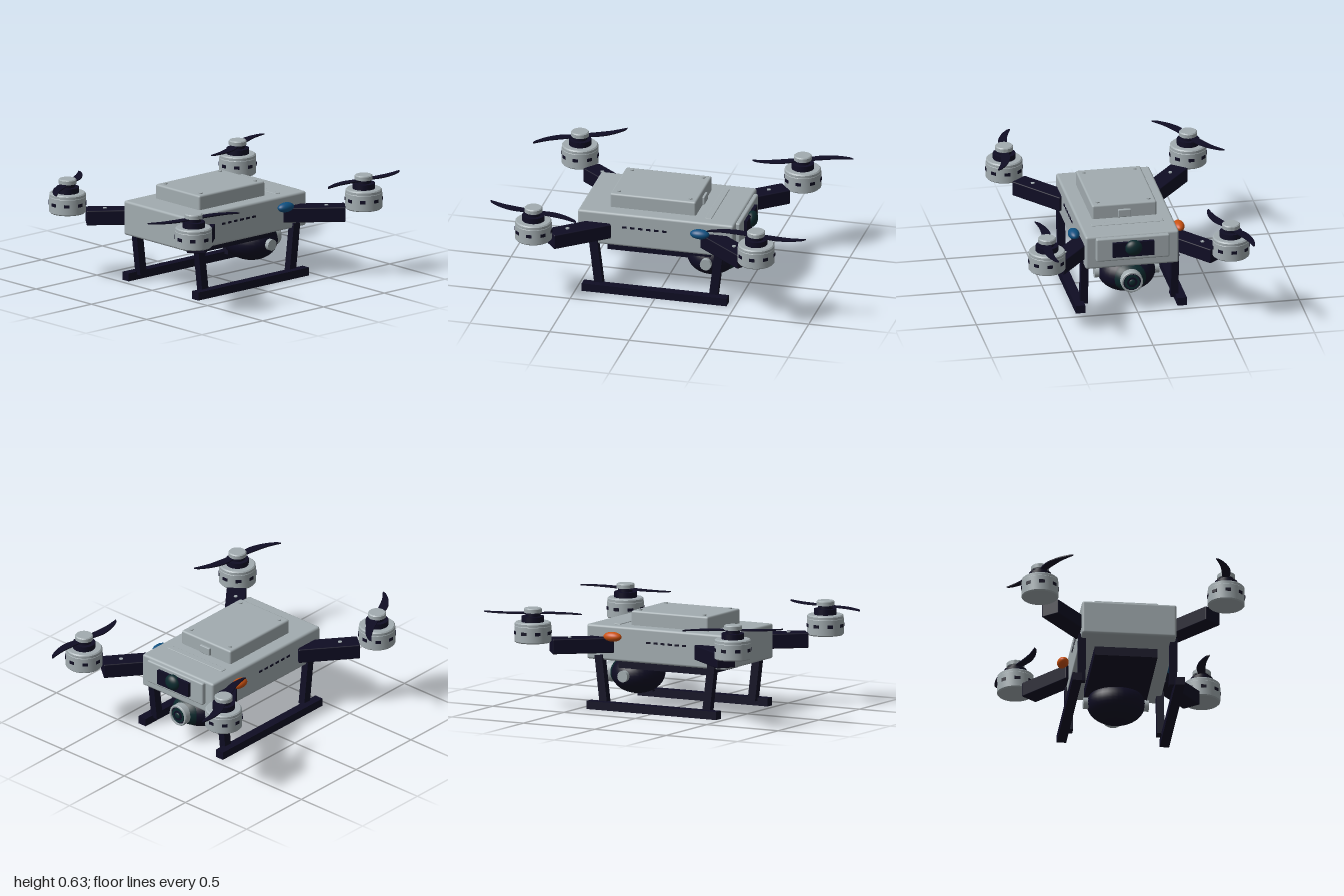
import * as THREE from 'three';
import { toCreasedNormals } from 'three/addons/utils/BufferGeometryUtils.js';
import { RoundedBoxGeometry } from 'three/addons/geometries/RoundedBoxGeometry.js';

function material(name, color) {
  const m = new THREE.MeshStandardMaterial({ color });
  m.name = name;
  return m;
}

export function createModel() {
  const grey = material('shell grey', 0xa2acb0);
  const navy = material('dark navy', 0x0f0d24);
  const teal = material('dark teal glass', 0x0c2a2e);
  const blue = material('blue light', 0x0f5080);
  const orange = material('orange light', 0xcc5210);

  const model = new THREE.Group();
  model.name = 'quadcopter';
  // everything is symmetric about the drone's own axis, slightly off z = 0
  const drone = new THREE.Group();
  drone.name = 'drone';
  drone.position.set(0, 0, 0.03);
  model.add(drone);

  function add(parent, name, geo, mat, x = 0, y = 0, z = 0) {
    const mesh = new THREE.Mesh(geo, mat);
    mesh.name = name;
    mesh.position.set(x, y, z);
    parent.add(mesh);
    return mesh;
  }
  const box = (w, h, d) => new THREE.BoxGeometry(w, h, d);
  const rounded = (w, h, d, r) => new RoundedBoxGeometry(w, h, d, 2, r);
  const cyl = (r, h, n = 32) => new THREE.CylinderGeometry(r, r, h, n);
  const ellipsoid = (a, b, c) => new THREE.SphereGeometry(1, 32, 20).scale(a, b, c);
  const lathe = (pts) => toCreasedNormals(
    new THREE.LatheGeometry(pts.map(([r, y]) => new THREE.Vector2(r, y)), 40), 0.5);

  // body shell, battery and its latch
  add(drone, 'body', rounded(0.98, 0.215, 0.58, 0.015), grey, -0.01, 0.408, 0);
  add(drone, 'battery', rounded(0.54, 0.11, 0.4, 0.012), grey, -0.05, 0.55, 0);
  add(drone, 'batteryLatch', rounded(0.02, 0.05, 0.08, 0.005), grey, 0.225, 0.545, 0);
  add(drone, 'topStrip', rounded(0.042, 0.012, 0.445, 0.004), grey, 0.304, 0.514, 0);
  for (const x of [-0.273, 0.176])
    for (const z of [-0.158, 0.158])
      add(drone, 'batteryScrew', cyl(0.012, 0.01, 12), grey, x, 0.607, z);

  // front sensor panel
  add(drone, 'frontPanel', rounded(0.04, 0.15, 0.455, 0.01), grey, 0.485, 0.431, 0);
  add(drone, 'sensorWindow', box(0.03, 0.094, 0.256), navy, 0.51, 0.433, 0);
  add(drone, 'sensorLens', ellipsoid(0.035, 0.05, 0.053), teal, 0.523, 0.443, 0);

  // side vents and navigation lights
  for (const s of [-1, 1]) {
    for (let i = 0; i < 6; i++)
      add(drone, 'sideVent', box(0.027, 0.012, 0.009), navy, -0.205 + i * 0.05, 0.43, s * 0.29);
    add(drone, 'navigationLight', ellipsoid(0.06, 0.03, 0.035), s > 0 ? blue : orange, 0.277, 0.455, s * 0.325);
  }

  // landing gear: two skids, four legs leaning inward
  for (const s of [-1, 1]) {
    add(drone, 'skid', box(0.91, 0.05, 0.058), navy, -0.005, 0.025, s * 0.315);
    for (const e of [-1, 1]) {
      const leg = add(drone, 'leg', box(0.052, 0.3, 0.046), navy, -0.005 + e * 0.377, 0.182, s * 0.28);
      leg.rotation.z = -e * 0.12;
    }
  }

  // belly plate and camera
  add(drone, 'bellyPlate', box(0.62, 0.065, 0.385), navy, 0, 0.277, 0);
  const camera = new THREE.Group();
  camera.name = 'camera';
  camera.position.set(0.28, 0.192, 0);
  drone.add(camera);
  add(camera, 'cameraShell', ellipsoid(0.16, 0.124, 0.178), navy);
  add(camera, 'cameraBall', ellipsoid(0.15, 0.108, 0.135), teal, 0.03);
  add(camera, 'cameraPivot', cyl(0.035, 0.4, 24).rotateX(Math.PI / 2), grey);
  const lens = new THREE.Group();
  lens.name = 'lens';
  lens.rotation.z = -Math.PI / 2; // local y points forward
  camera.add(lens);
  add(lens, 'lensBarrel', cyl(0.06, 0.1), navy, 0, 0.14, 0);
  add(lens, 'lensRing', lathe([[0.055, 0.15], [0.068, 0.15], [0.068, 0.194],
    [0.064, 0.2], [0.055, 0.2], [0.055, 0.15]]), grey);
  add(lens, 'lensGlass', cyl(0.047, 0.008), teal, 0, 0.192, 0);
  add(lens, 'lensInner', cyl(0.032, 0.006), navy, 0, 0.196, 0);
  add(lens, 'lensCentre', ellipsoid(0.02, 0.008, 0.02), teal, 0, 0.199, 0);

  // curved propeller blade outline; side sets the spin direction
  function bladeGeometry(side) {
    const v = (x, y) => new THREE.Vector2(x, y * side);
    const shape = new THREE.Shape();
    shape.moveTo(0.02, 0.02 * side);
    shape.splineThru([v(0.11, 0.012), v(0.21, 0.008), v(0.307, 0.02)]);
    shape.splineThru([v(0.285, -0.004), v(0.21, -0.033), v(0.12, -0.043), v(0.02, -0.02)]);
    return new THREE.ExtrudeGeometry(shape, { depth: 0.007, bevelEnabled: false, curveSegments: 6 })
      .rotateX(-Math.PI / 2);
  }

  const motorGeo = lathe([[0, 0.425], [0.106, 0.425], [0.113, 0.432], [0.113, 0.525],
    [0.111, 0.528], [0.111, 0.543], [0.104, 0.55], [0, 0.55]]);
  const capGeo = lathe([[0, 0.606], [0.055, 0.606], [0.055, 0.629], [0.049, 0.635], [0, 0.635]]);
  const reach = Math.atan2(0.57, 0.7);

  // arm, motor and rotor at each corner: [x side, z side, propeller angle, spin]
  const corners = [[1, 1, 2.5, 1], [-1, 1, -17, -1], [-1, -1, 34.5, 1], [1, -1, 16.5, -1]];
  for (const [sx, sz, degrees, spin] of corners) {
    const arm = new THREE.Group();
    arm.name = 'arm';
    arm.position.x = -0.005;
    arm.rotation.y = Math.atan2(-sz * Math.sin(reach), sx * Math.cos(reach));
    drone.add(arm);
    add(arm, 'armBeam', rounded(0.38, 0.092, 0.12, 0.006), navy, 0.6, 0.399, 0);
    add(arm, 'armScrew', cyl(0.012, 0.008, 12), grey, 0.675, 0.446, 0);

    const motor = new THREE.Group();
    motor.name = 'motor';
    motor.position.set(sx * 0.7 - 0.005, 0, sz * 0.57);
    drone.add(motor);
    add(motor, 'motorHousing', motorGeo, grey);
    for (let i = 0; i < 8; i++) {
      const a = i * Math.PI / 4;
      const slot = add(motor, 'motorSlot', box(0.034, 0.02, 0.009), navy,
        0.111 * Math.sin(a), 0.486, 0.111 * Math.cos(a));
      slot.rotation.y = a;
    }
    add(motor, 'motorCollar', cyl(0.069, 0.035), navy, 0, 0.567, 0);
    add(motor, 'motorShaft', cyl(0.045, 0.03), navy, 0, 0.595, 0);
    add(motor, 'rotorCap', capGeo, grey);

    const propeller = new THREE.Group();
    propeller.name = 'propeller';
    propeller.position.y = 0.6;
    propeller.rotation.y = THREE.MathUtils.degToRad(degrees - spin * 3);
    motor.add(propeller);
    for (const turn of [0, Math.PI])
      add(propeller, 'blade', bladeGeometry(spin), navy).rotation.y = turn;
  }
  return model;
}
